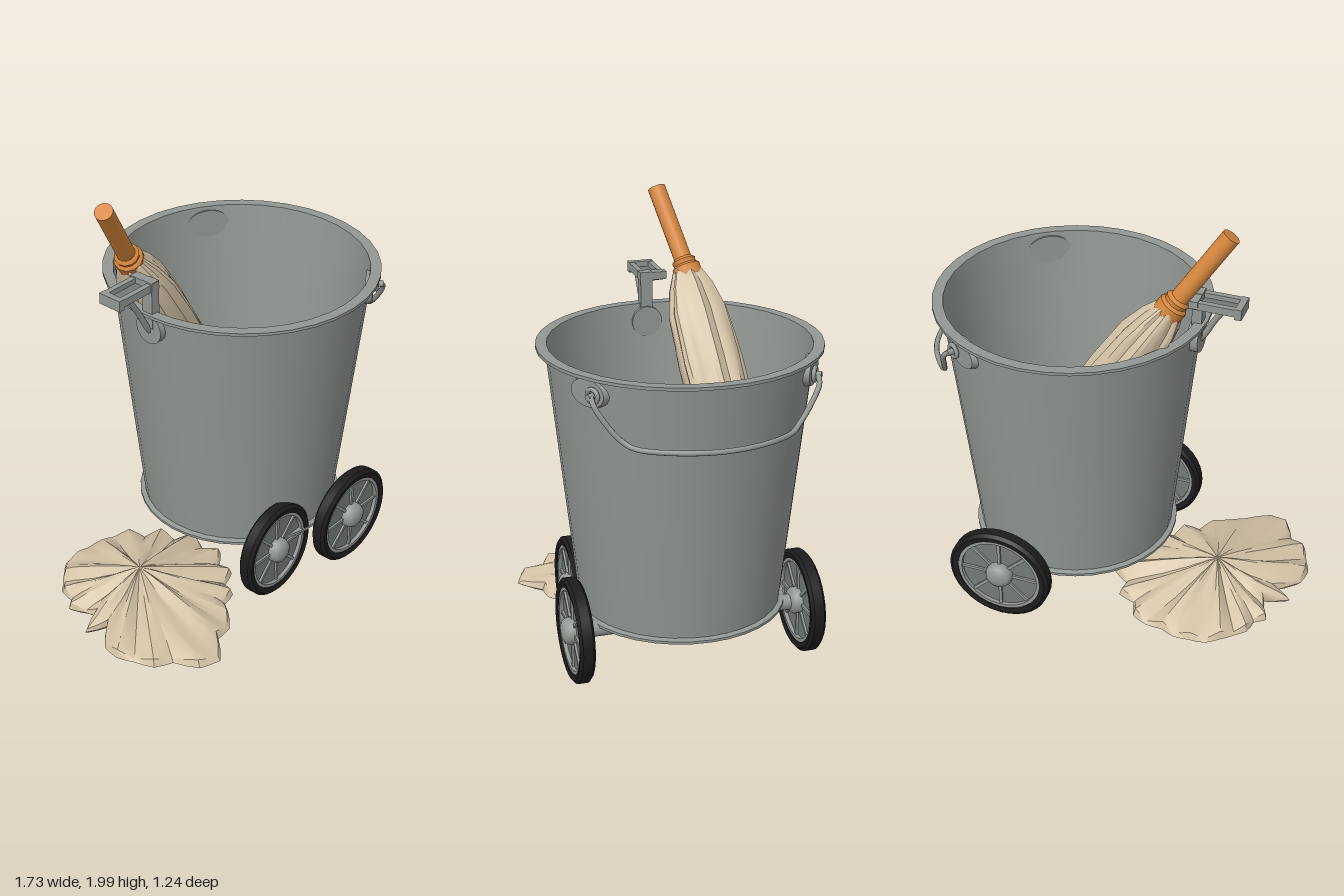
import * as THREE from 'three';
import { toCreasedNormals } from 'three/addons/utils/BufferGeometryUtils.js';

const mat = (name, color) => {
  const m = new THREE.MeshStandardMaterial({ color });
  m.name = name;
  return m;
};
const V = (x, y, z) => new THREE.Vector3(x, y, z);
const UP = V(0, 1, 0);

export function createModel() {
  const steel = mat('grey steel', 0x929894);
  const plate = mat('dark grey plate', 0x747a77);
  const rubber = mat('black rubber', 0x1c1c1c);
  const wood = mat('orange wood', 0xd6863c);
  const cloth = mat('cream cloth', 0xd2c1a5);
  const model = new THREE.Group();
  model.name = 'mopBucket';

  const add = (parent, name, geo, material, x = 0, y = 0, z = 0) => {
    const m = new THREE.Mesh(geo, material);
    m.name = name;
    m.position.set(x, y, z);
    parent.add(m);
    return m;
  };
  const lathe = (pts, seg, crease = 0.6) =>
    toCreasedNormals(new THREE.LatheGeometry(pts.map(p => new THREE.Vector2(...p)), seg), crease);
  const tube = (pts, r, seg = 48) =>
    new THREE.TubeGeometry(new THREE.CatmullRomCurve3(pts, false, 'centripetal'), seg, r, 8);
  // Straight capped rod between two points
  const rod = (parent, name, a, b, r, material) => {
    const m = add(parent, name, new THREE.CylinderGeometry(r, r, a.distanceTo(b), 14), material);
    m.position.copy(a).lerp(b, 0.5);
    m.quaternion.setFromUnitVectors(UP, b.clone().sub(a).normalize());
    return m;
  };

  // Tapered pail with foot ring, flat rim, inner wall and floor
  const cx = 0.225;
  add(model, 'bucket', lathe([
    [0, 0.27], [0.45, 0.27], [0.475, 0.267], [0.475, 0.279], [0.452, 0.285],
    [0.58, 1.468], [0.62, 1.468], [0.62, 1.482], [0.572, 1.482], [0.44, 0.28], [0, 0.28],
  ], 36), steel, cx);

  // Carrying bail with an oval ear on each side
  const half = [[0.6, 1.4, 0.49], [0.63, 1.37, 0.485], [0.66, 1.28, 0.43], [0.685, 1.225, 0.38],
    [0.72, 1.205, 0.34], [0.81, 1.205, 0.2], [0.85, 1.205, 0]];
  const bail = half.map(p => V(...p));
  for (let i = half.length - 2; i >= 0; i--) bail.push(V(half[i][0], half[i][1], -half[i][2]));
  add(model, 'bail', tube(bail, 0.012, 80), steel);
  for (const s of [1, -1]) {
    const ear = new THREE.Group();
    ear.name = 'bailEar';
    ear.position.set(0.537, 1.4, 0.477 * s);
    ear.rotation.y = Math.atan2(0.537 - cx, 0.477 * s);
    model.add(ear);
    const disc = add(ear, 'earPlate', new THREE.CylinderGeometry(0.075, 0.085, 0.035, 24), steel);
    disc.rotation.x = Math.PI / 2;
    disc.scale.set(1.2, 1, 0.8);
    add(ear, 'earLoop', new THREE.TorusGeometry(0.028, 0.01, 8, 20), steel, 0.04 * s, 0, 0.03);
    const pin = add(ear, 'earPin', new THREE.CylinderGeometry(0.014, 0.014, 0.06, 12), steel, 0.04 * s, 0, 0.03);
    pin.rotation.x = Math.PI / 2;
  }

  // Push grip on the right side: looped bar, post, strut and wall clip
  const grip = new THREE.Group();
  grip.name = 'pushGrip';
  model.add(grip);
  for (const z of [0, -0.09]) {
    add(grip, 'gripBar', new THREE.BoxGeometry(0.2, 0.035, 0.025), steel, -0.445, 1.605, z);
  }
  add(grip, 'gripEnd', new THREE.BoxGeometry(0.03, 0.05, 0.115), steel, -0.553, 1.6, -0.045);
  add(grip, 'gripPlate', new THREE.BoxGeometry(0.18, 0.02, 0.07), plate, -0.455, 1.59, -0.045);
  add(grip, 'gripPost', new THREE.BoxGeometry(0.045, 0.22, 0.055), steel, -0.355, 1.52, -0.012);
  add(grip, 'gripCross', new THREE.BoxGeometry(0.045, 0.035, 0.125), steel, -0.355, 1.61, -0.045);
  add(grip, 'gripStrut', tube([V(-0.49, 1.59, -0.012), V(-0.43, 1.5, -0.012),
    V(-0.38, 1.41, -0.012), V(-0.34, 1.36, -0.012)], 0.014, 20), steel);
  const clip = add(grip, 'wallClip', new THREE.CylinderGeometry(0.07, 0.07, 0.05, 24), steel, -0.348, 1.4, -0.012);
  clip.rotation.z = Math.PI / 2;

  // Spoked wheels with rubber tyres
  const tyreGeo = lathe([[0.19, -0.03], [0.215, -0.035], [0.23, -0.022], [0.23, 0.022],
    [0.215, 0.035], [0.19, 0.03], [0.19, -0.03]], 36);
  const rimGeo = lathe([[0.175, -0.026], [0.192, -0.026], [0.192, 0.026], [0.175, 0.026], [0.175, -0.026]], 36);
  const hubGeo = lathe([[0, -0.055], [0.045, -0.055], [0.06, -0.04], [0.06, 0.03],
    [0.05, 0.05], [0.03, 0.06], [0, 0.064]], 24, 0.9);
  const makeWheel = (x, z, s, width) => {
    const w = new THREE.Group();
    w.name = 'wheel';
    w.position.set(x, 0.255, z);
    w.rotation.x = s * Math.PI / 2;
    w.scale.x = width;
    model.add(w);
    add(w, 'tyre', tyreGeo, rubber);
    add(w, 'wheelRim', rimGeo, steel);
    add(w, 'wheelDisc', new THREE.CylinderGeometry(0.18, 0.18, 0.016, 36), plate);
    add(w, 'hub', hubGeo, steel);
    for (let i = 0; i < 8; i++) {
      const a = i * Math.PI / 4;
      const spoke = add(w, 'spoke', new THREE.BoxGeometry(0.13, 0.036, 0.014), steel,
        0.12 * Math.cos(a), 0, -0.12 * Math.sin(a));
      spoke.rotation.y = a;
    }
  };
  makeWheel(0.4, 0.528, 1, 1.06);
  makeWheel(0.4, -0.52, -1, 1.06);
  makeWheel(-0.035, 0.435, 1, 0.96);
  rod(model, 'axle', V(0.4, 0.25, -0.5), V(0.4, 0.25, 0.5), 0.036, steel);
  rod(model, 'stubAxle', V(-0.035, 0.255, 0.25), V(-0.035, 0.255, 0.42), 0.03, steel);

  // Mop leaning in the pail: handle, collar and gathered strands
  const mop = new THREE.Group();
  mop.name = 'mop';
  model.add(mop);
  const neck = V(-0.3, 1.65, -0.19), tip = V(-0.515, 1.975, -0.113), end = V(0.24, 0.82, -0.28);
  rod(mop, 'mopHandle', neck, tip, 0.041, wood);
  const collar = add(mop, 'mopCollar', lathe([[0, -0.05], [0.065, -0.05], [0.066, 0],
    [0.052, 0.012], [0.056, 0.03], [0.04, 0.045], [0, 0.045]], 12), wood);
  collar.position.copy(neck);
  collar.quaternion.setFromUnitVectors(UP, tip.clone().sub(neck).normalize());

  const strands = new THREE.LatheGeometry([[0, -1.02], [0.07, -1.04], [0.11, -0.95], [0.135, -0.75],
    [0.14, -0.45], [0.13, -0.22], [0.1, -0.1], [0.06, -0.01], [0, 0]].map(p => new THREE.Vector2(...p)), 40);
  const sp = strands.attributes.position;
  for (let i = 0; i < sp.count; i++) {
    const x = sp.getX(i), y = sp.getY(i), z = sp.getZ(i), a = Math.atan2(z, x);
    const k = 1 + 0.08 * Math.cos(7 * a + 2 * y) + 0.04 * Math.cos(12 * a);
    const ragged = y < -0.9 ? 0.05 * Math.cos(5 * a) * Math.hypot(x, z) / 0.1 : 0;
    sp.setXYZ(i, x * k * 0.85, y + ragged, z * k);
  }
  const head = add(mop, 'mopStrands', toCreasedNormals(strands, 0.6), cloth);
  head.position.copy(neck);
  head.quaternion.setFromUnitVectors(UP, neck.clone().sub(end).normalize());

  // Mop head spread on the ground: unit profile scaled by a ragged outline
  const outline = [48, 48, 44, 40, 43, 40, 45, 42, 48, 44, 49, 43, 47, 42, 46, 45, 42, 43,
    42, 42, 39, 37, 36, 32, 34, 28, 25, 36, 27, 40, 45, 47, 51, 50, 58, 59];
  const seg = 72;
  const profile = [[0, 0.012], [0.95, 0.012], [1, 0.025], [0.97, 0.05], [0.85, 0.07],
    [0.6, 0.1], [0.32, 0.138], [0.1, 0.17], [0, 0.18]];
  const spread = new THREE.LatheGeometry(profile.map(p => new THREE.Vector2(...p)), seg);
  const pp = spread.attributes.position;
  for (let i = 0; i < pp.count; i++) {
    const step = Math.floor(i / profile.length) % seg;
    const j = step >> 1;
    const r = step % 2 ? (outline[j] + outline[(j + 1) % 36]) / 200 : outline[j] / 100;
    const t = profile[i % profile.length][0];
    const top = i % profile.length > 2;
    const fold = top ? 0.016 * Math.sin(Math.PI * t) * Math.cos(step * Math.PI * 2 * 11 / seg)
      + 0.012 * t * Math.cos(step * Math.PI * 2 * 18 / seg) : 0;
    pp.setXYZ(i, pp.getX(i) * r, pp.getY(i) + fold, pp.getZ(i) * r);
  }
  add(model, 'spreadMopHead', toCreasedNormals(spread, 0.5), cloth, -0.48, 0, 0);

  return model;
}
